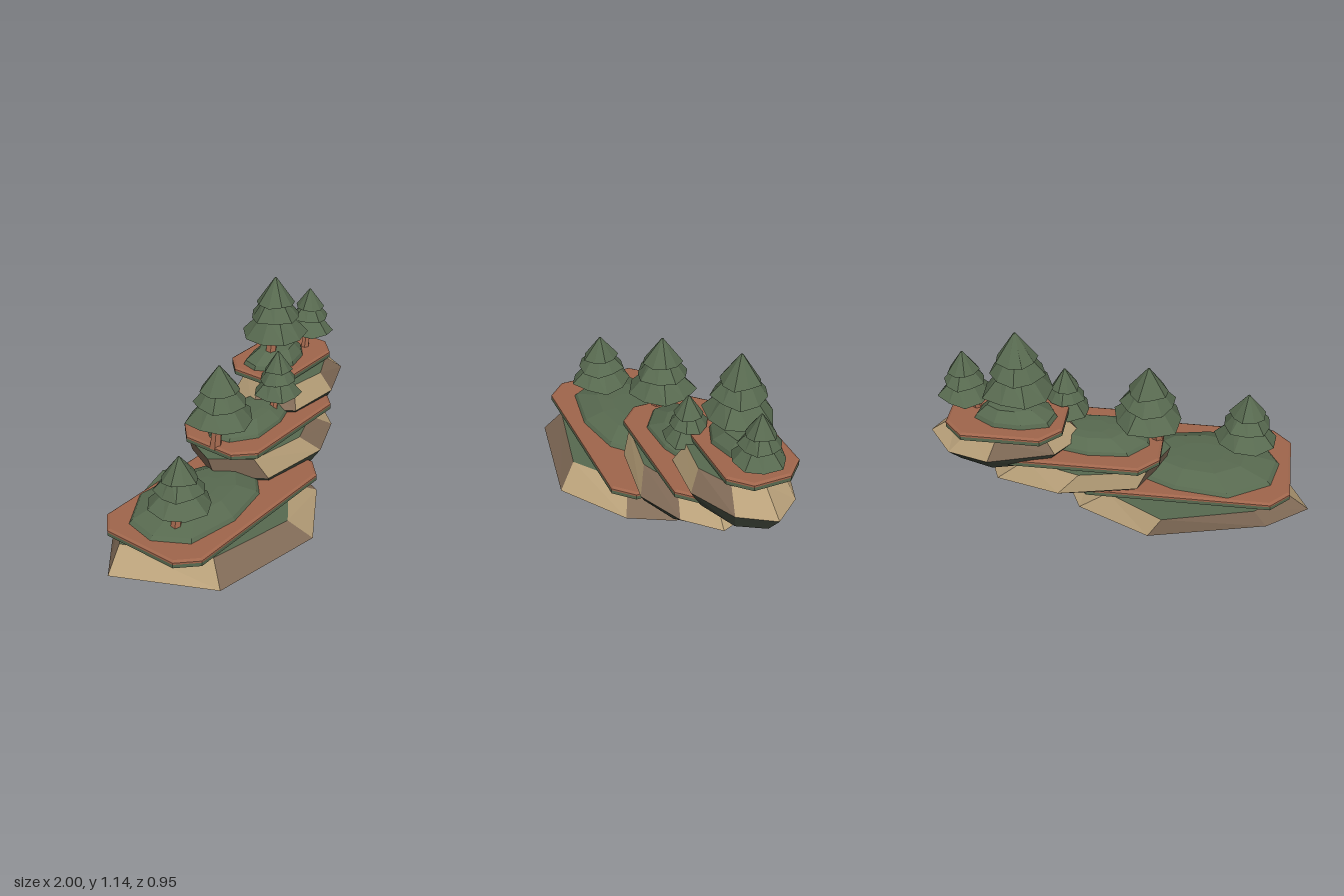
import * as THREE from 'three';

const mat = (name, hex) => {
  const m = new THREE.MeshStandardMaterial({ color: hex, flatShading: true });
  m.name = name;
  return m;
};

export function createModel() {
  const model = new THREE.Group();
  const green = mat('moss green', 0x586a50);
  const under = mat('dark underside', 0x434a3e);
  const tan = mat('light stone', 0xb8a079);
  const stone = mat('brown stone', 0x826c58);
  const wood = mat('terracotta', 0xa0664c);
  const navy = mat('dark navy', 0x1b1d2b);
  const palette = [green, under, tan, stone, wood, navy];
  const key = { g: 0, u: 1, t: 2, b: 3, w: 4, n: 5 };

  // Closed loft through rings of [x, y, z]; each band is a string of colour letters, repeated round
  function loft(name, rings, bands, bottom, top) {
    const faces = palette.map(() => []);
    const n = rings[0].length;
    const put = (k, ...pts) => pts.forEach(p => faces[key[k]].push(...p));
    bands.forEach((band, r) => {
      for (let i = 0; i < n; i++) {
        const j = (i + 1) % n, lo = rings[r], hi = rings[r + 1], k = band[i % band.length];
        put(k, lo[i], hi[i], hi[j]);
        put(k, lo[i], hi[j], lo[j]);
      }
    });
    const centre = ring => [0, 1, 2].map(a => ring.reduce((s, p) => s + p[a], 0) / n);
    const first = rings[0], last = rings[rings.length - 1];
    const c0 = centre(first), c1 = centre(last);
    for (let i = 0; i < n; i++) {
      const j = (i + 1) % n;
      put(bottom, c0, first[i], first[j]);
      put(top, c1, last[j], last[i]);
    }
    const geo = new THREE.BufferGeometry();
    geo.setAttribute('position', new THREE.Float32BufferAttribute(faces.flat(), 3));
    let start = 0;
    faces.forEach((f, i) => {
      if (f.length) geo.addGroup(start, f.length / 3, i);
      start += f.length / 3;
    });
    geo.computeVertexNormals();
    const mesh = new THREE.Mesh(geo, palette);
    mesh.name = name;
    return mesh;
  }

  // Rock: one widest outline, drawn in at foot and crown by dx, dz from each side
  function rock(outline, [y0, y1, y2], foot, crown, facets) {
    const range = a => {
      const v = outline.map(p => p[a]);
      return [Math.min(...v), Math.max(...v)];
    };
    const spans = [range(0), range(1)];
    const fit = (v, [lo, hi], [a, b]) => v + a + (v - lo) / (hi - lo) * (b - a);
    const drawn = (y, [left, right, back, front]) => outline.map(([x, z]) =>
      [fit(x, spans[0], [left, -right]), y, fit(z, spans[1], [back, -front])]);
    const middle = outline.map(([x, z], i) => [x, y1 + 0.012 * Math.sin(i * 1.5), z]);
    return loft('rock', [drawn(y0, foot), middle, drawn(y2, crown)], ['u', facets], 'u', 'g');
  }

  // Rectangle with cut corners, inset by d
  const octagon = ([x0, x1, z0, z1], y, d, cut = 0.1) => {
    const a = x0 + d, b = x1 - d, c = z0 + d, e = z1 - d, k = cut - d * 0.5;
    return [[b, c + k], [b, e - k], [b - k, e], [a + k, e], [a, e - k], [a, c + k], [a + k, c], [b - k, c]]
      .map(([x, z]) => [x, y, z]);
  };

  // Terrace deck: navy base, green side, bevelled terracotta rim
  const deck = (box, y) => loft('terraceDeck',
    [octagon(box, y, 0.015), octagon(box, y + 0.008, 0), octagon(box, y + 0.028, 0),
      octagon(box, y + 0.038, 0), octagon(box, y + 0.046, 0.014)],
    ['n', 'g', 'w', 'w'], 'n', 'w');

  // Uneven low mound on a deck
  function mound(x, z, rx, rz, y, h, phase) {
    const ring = (s, yy, dx) => Array.from({ length: 9 }, (_, i) => {
      const a = i / 9 * Math.PI * 2 + phase;
      const w = s * (1 + 0.06 * Math.sin(i * 2.3 + phase * 5));
      return [x + dx + Math.cos(a) * rx * w, yy, z + Math.sin(a) * rz * w];
    });
    return loft('grassMound',
      [ring(1, y, 0), ring(0.93, y + h * 0.35, 0), ring(0.58, y + h * 0.93, 0.02), ring(0.3, y + h, 0.02)],
      ['g', 'g', 'g'], 'g', 'g');
  }

  function terrace(name, ...parts) {
    const g = new THREE.Group();
    g.name = name;
    g.add(...parts);
    model.add(g);
  }

  // Stepped rock terraces, lowest first
  terrace('lowerTerrace',
    rock([[0.36, 0], [0.25, 0.24], [-0.12, 0.475], [-0.74, 0.36], [-1, -0.15], [-0.78, -0.33], [-0.17, -0.475], [0.22, -0.28]],
      [0, 0.083, 0.195], [0.17, 0.16, 0.125, 0.095], [0.12, 0.19, 0.015, 0.105], 'btbtbbtt'),
    deck([-0.89, 0.27, -0.345, 0.29], 0.213),
    mound(-0.43, -0.05, 0.43, 0.28, 0.25, 0.08, 0.2));
  terrace('middleTerrace',
    rock([[0.75, -0.08], [0.6, 0.09], [0.34, 0.195], [-0.05, 0.13], [-0.22, -0.1], [-0.1, -0.36], [0.3, -0.44], [0.64, -0.34]],
      [0.21, 0.292, 0.405], [0.08, 0.16, 0.11, 0.045], [-0.03, 0.17, 0.03, 0.065], 'tbtbbttt'),
    deck([-0.21, 0.66, -0.4, 0.105], 0.418),
    mound(0.14, -0.15, 0.31, 0.18, 0.455, 0.075, 0.6));
  terrace('upperTerrace',
    rock([[1, -0.24], [0.9, -0.055], [0.64, 0.055], [0.34, 0.02], [0.2, -0.18], [0.32, -0.38], [0.65, -0.475], [0.87, -0.4]],
      [0.4, 0.492, 0.603], [0.08, 0.07, 0.075, 0.055], [0.1, 0.15, 0.045, 0.055], 'tbtbtbtt'),
    deck([0.28, 0.88, -0.458, -0.06], 0.606),
    mound(0.53, -0.26, 0.22, 0.14, 0.645, 0.085, 1));

  // Pine: three overlapping skirts on a leaning trunk
  function pine(x, z, base, tip, r, foot) {
    const g = new THREE.Group();
    g.name = 'pineTree';
    const h = tip - base, n = 9;
    const ring = (rad, y, ragged, turn) => Array.from({ length: n }, (_, i) => {
      const a = i / n * Math.PI * 2 + turn + x * 3;
      const w = rad * (1 + ragged * 0.07 * Math.sin(i * 2.6 + turn + x * 9));
      return [x + Math.cos(a) * w, y + ragged * 0.02 * h * Math.sin(i * 1.7 + turn), z + Math.sin(a) * w];
    });
    [[0.02, 0.36, 1, 0.46], [0.33, 0.64, 0.78, 0.34], [0.57, 1, 0.58, 0.03]].forEach(([lo, hi, w, t], i) => {
      const y = base + lo * h;
      g.add(loft('foliage',
        [ring(r * w * 0.45, y + 0.05 * h, 0, i), ring(r * w, y, 1, i), ring(r * t, base + hi * h, 0, i)],
        ['g', 'g'], 'g', 'g'));
    });
    const a = new THREE.Vector3(x - 0.055, foot, z + 0.01);
    const b = new THREE.Vector3(x - 0.015, base + 0.12 * h, z);
    const trunk = new THREE.Mesh(new THREE.CylinderGeometry(r * 0.14, r * 0.18, a.distanceTo(b), 6), wood);
    trunk.name = 'trunk';
    trunk.position.copy(a).lerp(b, 0.5);
    trunk.quaternion.setFromUnitVectors(new THREE.Vector3(0, 1, 0), b.clone().sub(a).normalize());
    g.add(trunk);
    model.add(g);
  }
  pine(-0.64, 0.03, 0.39, 0.67, 0.165, 0.27);
  pine(-0.13, -0.13, 0.59, 0.905, 0.18, 0.44);
  pine(0.31, -0.08, 0.575, 0.83, 0.13, 0.5);
  pine(0.515, -0.255, 0.805, 1.145, 0.18, 0.7);
  pine(0.8, -0.222, 0.735, 0.99, 0.135, 0.64);
  return model;
}
